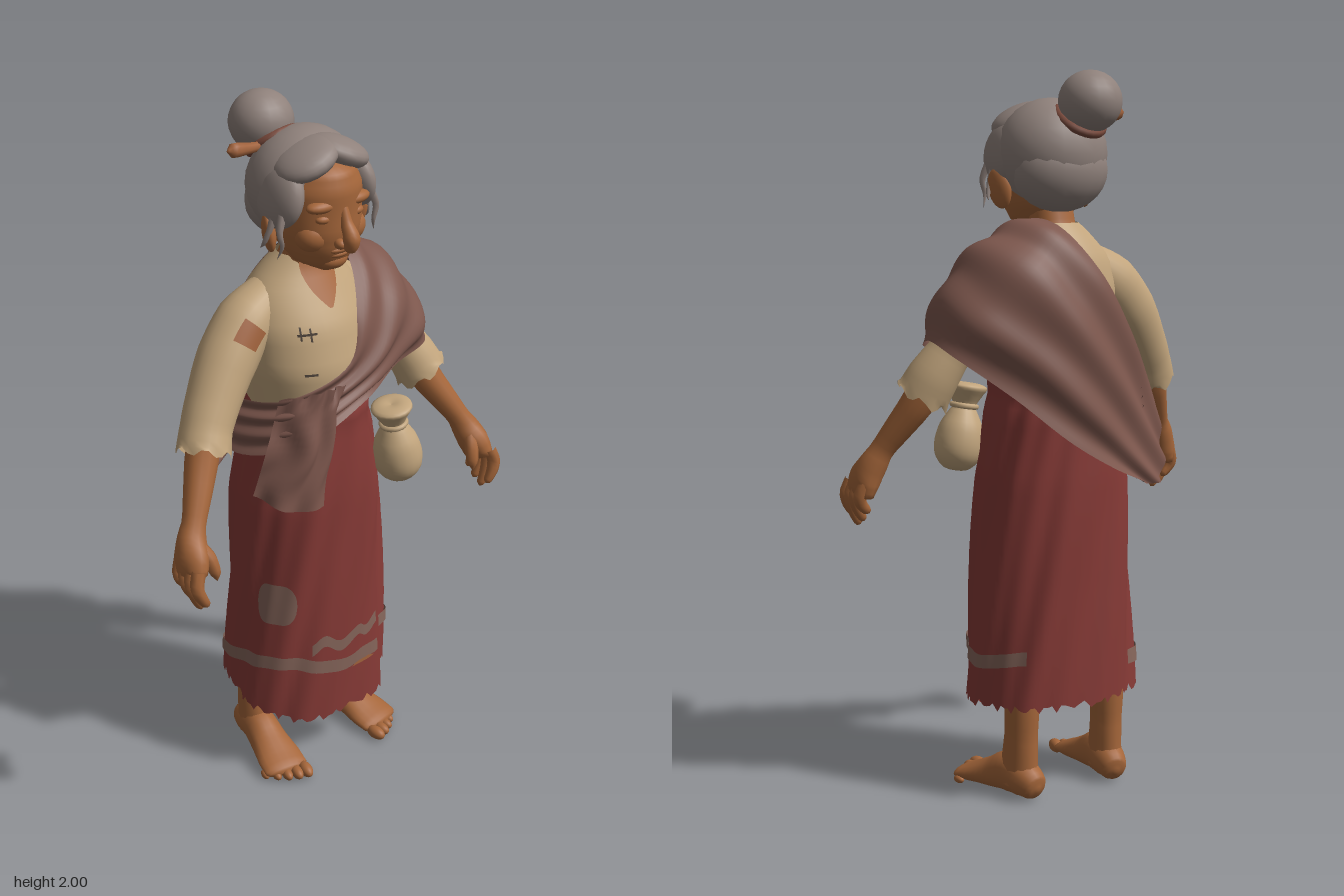
import * as THREE from 'three';
import { mergeVertices } from 'three/addons/utils/BufferGeometryUtils.js';

const flat = (name, color, side = THREE.FrontSide) => {
  const m = new THREE.MeshStandardMaterial({ color, side });
  m.name = name;
  return m;
};
const V = (p) => new THREE.Vector3(...p);
const { lerp, smoothstep } = THREE.MathUtils;

// Grid surface from a function of u and v (outside is du x dv)
function surf(fn, nu, nv) {
  const pos = [], idx = [];
  for (let j = 0; j <= nv; j++) for (let i = 0; i <= nu; i++) pos.push(...fn(i / nu, j / nv));
  for (let j = 0; j < nv; j++) for (let i = 0; i < nu; i++) {
    const a = j * (nu + 1) + i, d = a + nu + 1;
    idx.push(a, a + 1, d, a + 1, d + 1, d);
  }
  let g = new THREE.BufferGeometry();
  g.setAttribute('position', new THREE.Float32BufferAttribute(pos, 3));
  g.setIndex(idx);
  g = mergeVertices(g, 1e-5);
  g.computeVertexNormals();
  return g;
}

// Swept body: sections are [x, y, z, radius, second radius]
function sweep(sections, ref = [0, 0, 1]) {
  const path = new THREE.CatmullRomCurve3(sections.map((s) => V(s)));
  const n = sections.length - 1;
  return (u, v, off = 0) => {
    const k = Math.min(Math.floor(v * n), n - 1), f = v * n - k, A = sections[k], B = sections[k + 1];
    const r1 = lerp(A[3], B[3], f) + off, r2 = lerp(A[4] ?? A[3], B[4] ?? B[3], f) + off;
    const T = path.getTangent(v), side = V(ref).cross(T).normalize(), up = T.clone().cross(side);
    const th = u * Math.PI * 2;
    return path.getPoint(v).addScaledVector(side, r1 * Math.cos(th)).addScaledVector(up, r2 * Math.sin(th)).toArray();
  };
}
const limb = (sections, ref, nu = 14, nv = 20) => surf(sweep(sections, ref), nu, nv);

// Cloth stretched over rows of control points, with ripples across its width
function cloth(rows, nu, nv, folds, depth) {
  const curves = rows.map((r) => new THREE.CatmullRomCurve3(r.map(V)));
  const g = surf((u, v) => new THREE.CatmullRomCurve3(curves.map((c) => c.getPoint(u))).getPoint(v).toArray(), nu, nv);
  const p = g.attributes.position, n = g.attributes.normal;
  for (let i = 0; i < p.count; i++) {
    const u = (i % (nu + 1)) / nu, v = Math.floor(i / (nu + 1)) / nv;
    const d = depth * Math.sin(u * folds * 6.28 + Math.sin(v * 9) * 1.2);
    p.setXYZ(i, p.getX(i) + n.getX(i) * d, p.getY(i) + n.getY(i) * d, p.getZ(i) + n.getZ(i) * d);
  }
  g.computeVertexNormals();
  return g;
}

// Stacked rings: rows are [y, half width, half depth, centre z]
function rings(rows) {
  return (th, y, off = 0, pow = 1) => {
    let k = 0;
    while (k < rows.length - 2 && y > rows[k + 1][0]) k++;
    const A = rows[k], B = rows[k + 1], f = (y - A[0]) / (B[0] - A[0]);
    const bend = (t) => Math.sign(t) * Math.abs(t) ** pow;
    return [(lerp(A[1], B[1], f) + off) * bend(Math.sin(th)), y,
      lerp(A[3], B[3], f) + (lerp(A[2], B[2], f) + off) * bend(Math.cos(th))];
  };
}

export function createModel() {
  const root = new THREE.Group();
  const D = THREE.DoubleSide, TAU = Math.PI * 2;
  const skin = flat('skin', 0xa5663a), cream = flat('cream cloth', 0xc2a57d, D), hair = flat('grey hair', 0x8f817b);
  const brown = flat('shawl brown', 0x7d574d, D), red = flat('skirt red', 0x863a36, D), band = flat('faded trim', 0x85655a, D);
  const dark = flat('dark thread', 0x4a3f36, D), rust = flat('rust patch', 0xa0623c, D), tie = flat('tie', 0x7a4a3c);
  const add = (name, geo, mat, parent = root) => {
    const m = new THREE.Mesh(geo, mat);
    m.name = name;
    parent.add(m);
    return m;
  };
  const ball = (name, mat, pos, scale, parent = root) => {
    const m = add(name, new THREE.SphereGeometry(1, 20, 14), mat, parent);
    m.position.set(...pos);
    m.scale.set(...scale);
    return m;
  };

  // Blouse body, neck opening and mending stitches
  const torso = rings([[1.12, 0.15, 0.165, 0], [1.3, 0.185, 0.165, 0.005], [1.42, 0.185, 0.148, -0.01],
    [1.5, 0.16, 0.115, -0.025], [1.56, 0.105, 0.08, -0.025], [1.595, 0.07, 0.06, -0.015]]);
  add('blouse', surf((u, v) => torso(u * TAU, 1.12 + v * 0.475), 36, 18), cream);
  add('neckline', surf((u, v) => torso((u * 2 - 1) * (0.03 + 0.6 * v), 1.465 + 0.12 * v, 0.005), 10, 8), skin);
  for (const [t, w, y, h] of [[-0.64, 0.3, 1.412, 0.006], [-0.6, 0.03, 1.4, 0.035], [-0.45, 0.03, 1.395, 0.035], [-0.62, 0.2, 1.305, 0.006]])
    add('stitch', surf((u, v) => torso(t + u * w, y + v * h, 0.004), 6, 2), dark);
  add('neck', limb([[0, 1.5, -0.03, 0.08], [0, 1.58, -0.005, 0.066], [0, 1.68, 0.02, 0.064]]), skin);

  // Wrapped skirt: the free edge overlaps at the left front
  const skirtRings = rings([[0.18, 0.256, 0.19, 0.003], [0.6, 0.23, 0.182, 0.003], [0.9, 0.213, 0.179, 0.002],
    [1.08, 0.18, 0.174, 0.002], [1.13, 0.162, 0.17, 0.004], [1.17, 0.167, 0.175, 0.005], [1.2, 0.145, 0.16, 0.004]]);
  const start = 0.38, span = TAU + 0.14;
  const skirt = (th, y, off = 0) => {
    const front = smoothstep(th, 4.9, start + span);
    const fold = 0.006 * Math.sin(th * 7 - y * 9) * smoothstep(1.15 - y, 0, 0.4) + 0.003 * Math.sin(th * 15 - y * 12);
    return skirtRings(th, y, 0.014 * front * smoothstep(1.2 - y, 0, 0.3) + fold + off, 0.9);
  };
  const hem = (th) => 0.275 - 0.075 * smoothstep(th, 4.2, 6.0)
    + 0.008 * Math.sin(th * 31) + 0.006 * Math.sin(th * 53 + 1);
  add('skirt', surf((u, v) => {
    const th = start + u * span;
    return skirt(th, lerp(hem(th), 1.2, v));
  }, 120, 36), red);

  // Trim lines and patch on the skirt
  const ribbon = (name, t0, t1, mid, half, mat = band) => add(name, surf((u, v) => {
    const th = lerp(t0, t1, u);
    return skirt(th, mid(th) + (v * 2 - 1) * half(u), 0.005);
  }, 48, 3), mat);
  ribbon('leftTrim', 0.45, 2.4, (t) => 0.41 + 0.012 * Math.sin(t * 3), () => 0.019);
  ribbon('rightTrim', 3.9, 6.72, (t) => 0.388 + 0.022 * Math.cos((t - TAU) * 2.6 + 2.6), () => 0.021);
  ribbon('waveTrim', 5.85, 6.72, (t) => 0.455 + 0.014 * Math.sin(t * 17), () => 0.018);
  ribbon('rustTrim', 6.32, 6.65, () => 0.342, (u) => 0.008 * Math.sin(u * Math.PI), rust);
  ribbon('skirtPatch', 5.02, 5.64, () => 0.605, (u) => 0.064 * Math.max(0, 1 - (2 * u - 1) ** 4) ** 0.5);

  // Shawl: from behind the right hip, across the chest, over the left shoulder and down the back
  add('shawl', cloth([
    [[-0.17, 1.22, -0.155], [-0.19, 1.15, -0.155], [-0.2, 1.07, -0.155]],
    [[-0.225, 1.23, 0], [-0.235, 1.16, 0.01], [-0.24, 1.07, 0.02]],
    [[-0.17, 1.26, 0.145], [-0.16, 1.2, 0.17], [-0.15, 1.13, 0.18]],
    [[0, 1.33, 0.188], [0.03, 1.26, 0.2], [0.06, 1.205, 0.188]],
    [[0.05, 1.45, 0.16], [0.12, 1.36, 0.188], [0.17, 1.3, 0.178], [0.21, 1.235, 0.135]],
    [[0.1, 1.575, 0.06], [0.18, 1.49, 0.115], [0.28, 1.38, 0.135], [0.345, 1.265, 0.115]],
    [[0.085, 1.615, -0.03], [0.2, 1.57, -0.02], [0.31, 1.465, 0.01], [0.376, 1.29, 0.03]],
    [[0.05, 1.595, -0.11], [0.15, 1.52, -0.155], [0.28, 1.38, -0.135], [0.355, 1.25, -0.08]],
    [[-0.035, 1.47, -0.185], [0.06, 1.37, -0.215], [0.15, 1.25, -0.205], [0.22, 1.14, -0.165]],
    [[-0.13, 1.31, -0.185], [-0.06, 1.2, -0.22], [0.01, 1.1, -0.23], [0.08, 1.02, -0.215]],
    [[-0.235, 1.15, -0.13], [-0.18, 1.06, -0.18], [-0.11, 0.99, -0.21], [-0.05, 0.94, -0.222]],
    [[-0.29, 1.04, -0.11], [-0.288, 0.94, -0.14], [-0.25, 0.875, -0.175], [-0.17, 0.885, -0.205]],
  ], 36, 80, 3, 0.008), brown);
  add('shawlEnd', cloth([
    [[-0.19, 1.26, 0.135], [-0.09, 1.28, 0.2], [-0.02, 1.28, 0.2]],
    [[-0.23, 1.12, 0.13], [-0.14, 1.12, 0.212], [-0.07, 1.13, 0.21]],
    [[-0.27, 0.99, 0.12], [-0.2, 0.95, 0.2], [-0.1, 0.94, 0.215]],
  ], 20, 16, 2, 0.008), brown);

  // Arms, hands, legs and feet, mirrored
  for (const s of [1, -1]) {
    const side = s > 0 ? 'left' : 'right';
    const mx = (rows) => rows.map(([x, ...r]) => [x * s, ...r]);
    const upper = s > 0 ? 0.062 : 0.082;
    const sleeve = sweep(mx([[0.09, 1.48, -0.03, 0.065], [0.175, 1.425, -0.025, upper], [0.25, 1.345, -0.01, upper],
      [0.315, 1.255, 0.015, s > 0 ? 0.06 : 0.074], [0.355, 1.19, 0.035, 0.07], [0.38, 1.135, 0.055, 0.074]]));
    add(side + 'Sleeve', surf((u, v) => {
      const p = sleeve(u, v);
      p[1] += v === 1 ? 0.012 * Math.sin(u * 40) : 0;
      return p;
    }, 24, 20), cream);
    if (s < 0) add('sleevePatch', surf((u, v) => sleeve(0.25 + u * 0.13, 0.22 + v * 0.11, 0.006), 6, 6), rust);
    add(side + 'Forearm', limb(mx([[0.35, 1.21, 0.03, 0.045], [0.39, 1.12, 0.06, 0.046], [0.43, 1.05, 0.095, 0.039],
      [0.465, 0.99, 0.125, 0.032], [0.485, 0.95, 0.14, 0.04], [0.5, 0.91, 0.16, 0.042, 0.056],
      [0.51, 0.87, 0.172, 0.032, 0.056], [0.512, 0.85, 0.177, 0, 0]])), skin);
    for (let i = 0; i < 4; i++) {
      const z = 0.132 + i * 0.027, len = [0.82, 0.795, 0.78, 0.8][i];
      add(side + 'Finger', limb(mx([[0.515, 0.9, z, 0.019], [0.528, 0.86, z + 0.008, 0.019],
        [0.52, (0.86 + len) / 2, z + 0.012, 0.017], [0.502, len, z + 0.012, 0.012], [0.497, len - 0.006, z + 0.012, 0]]), undefined, 8, 10), skin);
    }
    add(side + 'Thumb', limb(mx([[0.485, 0.95, 0.16, 0.018], [0.466, 0.91, 0.19, 0.021], [0.458, 0.87, 0.205, 0.016],
      [0.456, 0.845, 0.21, 0]]), undefined, 8, 10), skin);

    const foot = new THREE.Group();
    foot.name = side + 'Foot';
    foot.position.set(s * 0.145, 0, -0.068);
    foot.rotation.y = s * 0.17;
    root.add(foot);
    add('lowerLeg', limb([[0, 0.04, 0.01, 0.048, 0.066], [0, 0.1, 0.006, 0.045, 0.058], [0, 0.18, 0, 0.044, 0.05],
      [0, 0.32, -0.005, 0.05], [0, 0.5, 0.01, 0.06]]), skin, foot);
    add('sole', limb([[0, 0.035, -0.072, 0, 0], [0, 0.038, -0.062, 0.036, 0.036], [0, 0.055, -0.02, 0.049, 0.053],
      [0, 0.064, 0.04, 0.05, 0.062], [0, 0.048, 0.1, 0.056, 0.046], [0, 0.032, 0.17, 0.068, 0.03],
      [0, 0.022, 0.22, 0.068, 0.02], [0, 0.018, 0.235, 0, 0]], [0, 1, 0], 18, 24), skin, foot);
    for (let i = 0; i < 5; i++) {
      const r = 0.023 - i * 0.0024;
      ball('toe', skin, [s * (-0.05 + i * 0.028), r * 0.85, 0.242 - i * i * 0.0028], [r * 0.8, r * 0.85, r * 1.4], foot);
    }
  }

  // Head and face
  const face = rings([[1.572, 0.02, 0.02, 0.09], [1.6, 0.075, 0.075, 0.065], [1.64, 0.102, 0.112, 0.048],
    [1.69, 0.118, 0.127, 0.042], [1.74, 0.12, 0.128, 0.04], [1.8, 0.118, 0.13, 0.04], [1.85, 0.095, 0.115, 0.038], [1.89, 0.03, 0.05, 0.02]]);
  add('face', surf((u, v) => face(u * TAU, 1.572 + v * 0.318), 32, 22), skin);
  add('nose', limb([[0, 1.765, 0.155, 0.012], [0, 1.72, 0.172, 0.016], [0, 1.685, 0.192, 0.023], [0, 1.66, 0.185, 0.02], [0, 1.65, 0.17, 0]]), skin);
  ball('chin', skin, [0, 1.607, 0.115], [0.045, 0.028, 0.034]);
  ball('upperLip', skin, [0, 1.645, 0.145], [0.04, 0.012, 0.02]);
  ball('lowerLip', skin, [0, 1.63, 0.138], [0.036, 0.012, 0.02]);
  for (const s of [1, -1]) {
    ball('nostril', skin, [s * 0.019, 1.668, 0.17], [0.015, 0.014, 0.018]);
    ball('cheek', skin, [s * 0.055, 1.682, 0.105], [0.052, 0.045, 0.046]);
    ball('brow', skin, [s * 0.05, 1.768, 0.137], [0.05, 0.018, 0.026]);
    ball('eyelid', skin, [s * 0.05, 1.735, 0.142], [0.026, 0.013, 0.017]);
    ball('ear', skin, [s * 0.143, 1.688, 0.035], [0.018, 0.056, 0.034]).rotation.set(0.15, s * 0.5, s * -0.2);
  }

  // Hair, bun and hair stick
  ball('hairCap', hair, [0, 1.78, -0.002], [0.157, 0.15, 0.145]);
  ball('hairBack', hair, [0, 1.735, -0.045], [0.143, 0.112, 0.1]);
  for (const s of [1, -1]) {
    ball('sideHair', hair, [s * 0.117, 1.785, 0.048], [0.042, 0.085, 0.085]).rotation.z = s * 0.22;
    ball('frontHair', hair, [s * 0.05, 1.872, 0.066], [0.09, 0.04, 0.086]).rotation.z = s * -0.4;
    for (let i = 0; i < 2; i++) add('wisp', limb([[s * 0.14, 1.76, 0.09 - i * 0.03, 0.014], [s * 0.158, 1.71, 0.1 - i * 0.04, 0.009],
      [s * (0.15 + i * 0.02), 1.67, 0.1 - i * 0.05, 0.006], [s * (0.16 + i * 0.015), 1.635 + i * 0.02, 0.09 - i * 0.05, 0]], undefined, 6, 10), hair);
  }
  ball('bun', hair, [-0.042, 1.917, -0.126], [0.087, 0.083, 0.085]);
  const ring = add('bunTie', new THREE.TorusGeometry(0.066, 0.013, 8, 24), tie);
  ring.position.set(-0.032, 1.872, -0.092);
  ring.rotation.set(Math.PI / 2 - 0.65, 0.1, 0);
  add('hairStick', limb([[0.04, 1.865, -0.09, 0.008], [-0.12, 1.88, -0.062, 0.014], [-0.185, 1.89, -0.052, 0.021],
    [-0.208, 1.893, -0.05, 0]], undefined, 8, 10), rust);

  // Pouch hanging at the waist
  const pouch = new THREE.Group();
  pouch.name = 'pouch';
  pouch.position.set(0.212, 0.9, 0.168);
  pouch.rotation.z = 0.17;
  root.add(pouch);
  const outline = [[0, 0], [0.035, 0.006], [0.062, 0.035], [0.07, 0.075], [0.062, 0.125], [0.042, 0.165], [0.032, 0.185], [0.046, 0.215], [0.058, 0.24], [0.03, 0.25], [0, 0.245]];
  add('pouchBag', new THREE.LatheGeometry(new THREE.SplineCurve(outline.map((p) => new THREE.Vector2(...p))).getPoints(32), 20), cream, pouch);
  const cord = add('pouchCord', new THREE.TorusGeometry(0.034, 0.008, 8, 20), cream, pouch);
  cord.position.y = 0.185;
  cord.rotation.x = Math.PI / 2;

  return root;
}
